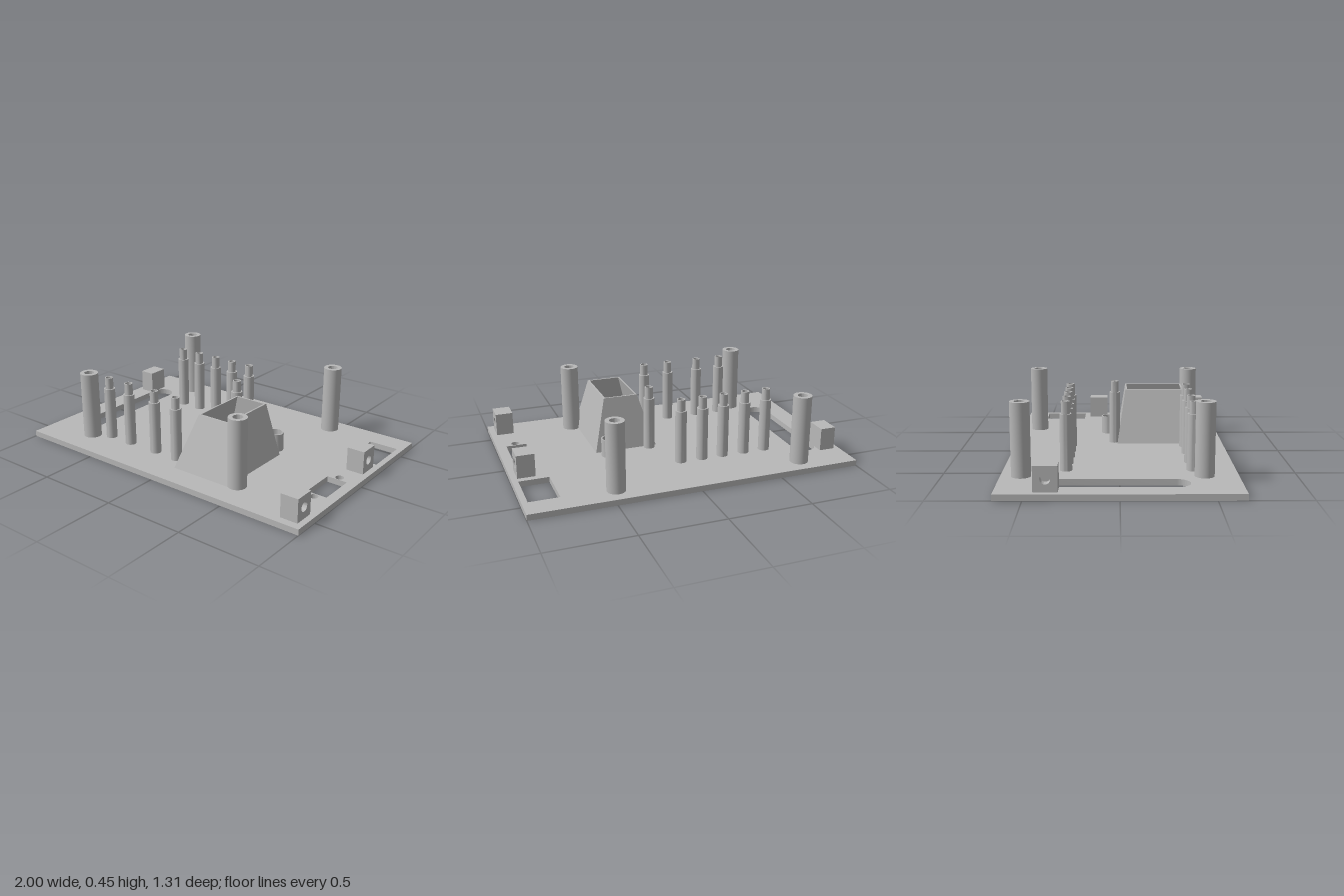
import * as THREE from 'three';
import { toCreasedNormals } from 'three/addons/utils/BufferGeometryUtils.js';

const PLATE = 0.035;
const BORE = 0.026;
const lightTubes = [
  ...[-0.555, -0.415, -0.275, -0.14, -0.003].map((x) => [x, -0.3]),
  ...[-0.555, -0.39, -0.183, -0.017].map((x) => [x, 0.41]),
  [0.102, -0.028],
];

export function createModel() {
  const model = new THREE.Group();
  const grey = new THREE.MeshStandardMaterial({ color: 0xb8b8b8 });
  grey.name = 'grey plastic';

  const add = (name, geometry, x = 0, y = 0, z = 0, parent = model) => {
    const mesh = new THREE.Mesh(geometry, grey);
    mesh.name = name;
    mesh.position.set(x, y, z);
    parent.add(mesh);
    return mesh;
  };
  const circle = (x, y, r) => new THREE.Path().absarc(x, y, r, 0, Math.PI * 2, true);
  const rect = (x0, x1, y0, y1, path = new THREE.Path()) =>
    path.setFromPoints([[x0, y0], [x1, y0], [x1, y1], [x0, y1], [x0, y0]].map((p) => new THREE.Vector2(...p)));
  const lathe = (points) => toCreasedNormals(
    new THREE.LatheGeometry(points.map((p) => new THREE.Vector2(...p)), 32), 0.5);

  // Base plate; shape y is -z
  const plate = rect(-1, 1, -0.655, 0.655, new THREE.Shape());
  const slot = new THREE.Path();
  slot.absarc(-0.805, 0.352, 0.071, 0, Math.PI, false);
  slot.absarc(-0.805, -0.308, 0.071, Math.PI, Math.PI * 2, false);
  slot.closePath();
  plate.holes.push(
    slot,
    rect(0.785, 0.965, 0.245, 0.515),
    rect(0.815, 0.94, -0.28, -0.058),
    circle(0.878, -0.03, 0.025),
    circle(0.878, -0.31, 0.025),
    circle(0.37, 0.066, 0.042),
    rect(0.06, 0.433, -0.502, -0.002),
    ...lightTubes.map(([x, z]) => circle(x, -z, BORE)),
  );
  const plateGeometry = new THREE.ExtrudeGeometry(plate, { depth: PLATE, bevelEnabled: false, curveSegments: 16 });
  plateGeometry.rotateX(-Math.PI / 2);
  add('basePlate', toCreasedNormals(plateGeometry, 0.5));

  // Screw posts with blind bores
  const post = lathe([[0.055, PLATE], [0.055, 0.452], [0.03, 0.452], [0.03, PLATE + 0.01], [0, PLATE + 0.01]]);
  for (const x of [-0.67, 0.475])
    for (const z of [-0.54, 0.465]) add('screwPost', post, x, 0, z);

  // Stepped, hollow light tubes
  const tube = lathe([
    [0.034, PLATE], [0.034, 0.36], [0.025, 0.36], [0.025, 0.43],
    [0.019, 0.43], [0.019, 0.34], [BORE, 0.34], [BORE, PLATE],
  ]);
  for (const [x, z] of lightTubes) add('lightTube', tube, x, 0, z);

  // Short open collar
  add('collar', lathe([[0.05, PLATE], [0.05, 0.147], [0.042, 0.147], [0.042, PLATE]]), 0.37, 0, -0.066);

  // Tapered hood: outer wall, rim, inner wall
  const loops = [
    [0.052, 0.44, -0.01, 0.51, PLATE],
    [0.157, 0.368, 0.04, 0.407, 0.365],
    [0.166, 0.358, 0.05, 0.397, 0.365],
    [0.06, 0.433, 0.002, 0.502, 0],
  ].map(([x0, x1, z0, z1, y]) => [[x0, y, z1], [x1, y, z1], [x1, y, z0], [x0, y, z0]]);
  const corners = [];
  for (let i = 0; i < 3; i++)
    for (let j = 0; j < 4; j++) {
      const k = (j + 1) % 4;
      const [a, b, c, d] = [loops[i][j], loops[i][k], loops[i + 1][k], loops[i + 1][j]];
      corners.push(...a, ...b, ...c, ...a, ...c, ...d);
    }
  const hood = new THREE.BufferGeometry();
  hood.setAttribute('position', new THREE.Float32BufferAttribute(corners, 3));
  hood.computeVertexNormals();
  add('hood', hood);

  // Mounting blocks with a blind hole facing the plate's side edge
  const block = (x, z, width, length, side) => {
    const group = new THREE.Group();
    group.name = 'mountingBlock';
    const height = 0.175 - PLATE;
    const depth = 0.05;
    const face = rect(-length / 2, length / 2, 0, height, new THREE.Shape());
    face.holes.push(circle(0, height / 2, 0.028));
    const front = new THREE.ExtrudeGeometry(face, { depth, bevelEnabled: false, curveSegments: 16 });
    add('blockFront', toCreasedNormals(front, 0.5), 0, 0, width / 2 - depth, group);
    add('blockBack', new THREE.BoxGeometry(length, height, width - depth), 0, height / 2, -depth / 2, group);
    group.position.set(x, PLATE, z);
    group.rotation.y = side * Math.PI / 2;
    model.add(group);
  };
  block(0.91, -0.145, 0.107, 0.123, 1);
  block(0.91, 0.547, 0.107, 0.123, 1);
  block(-0.918, -0.384, 0.096, 0.13, -1);

  return model;
}
